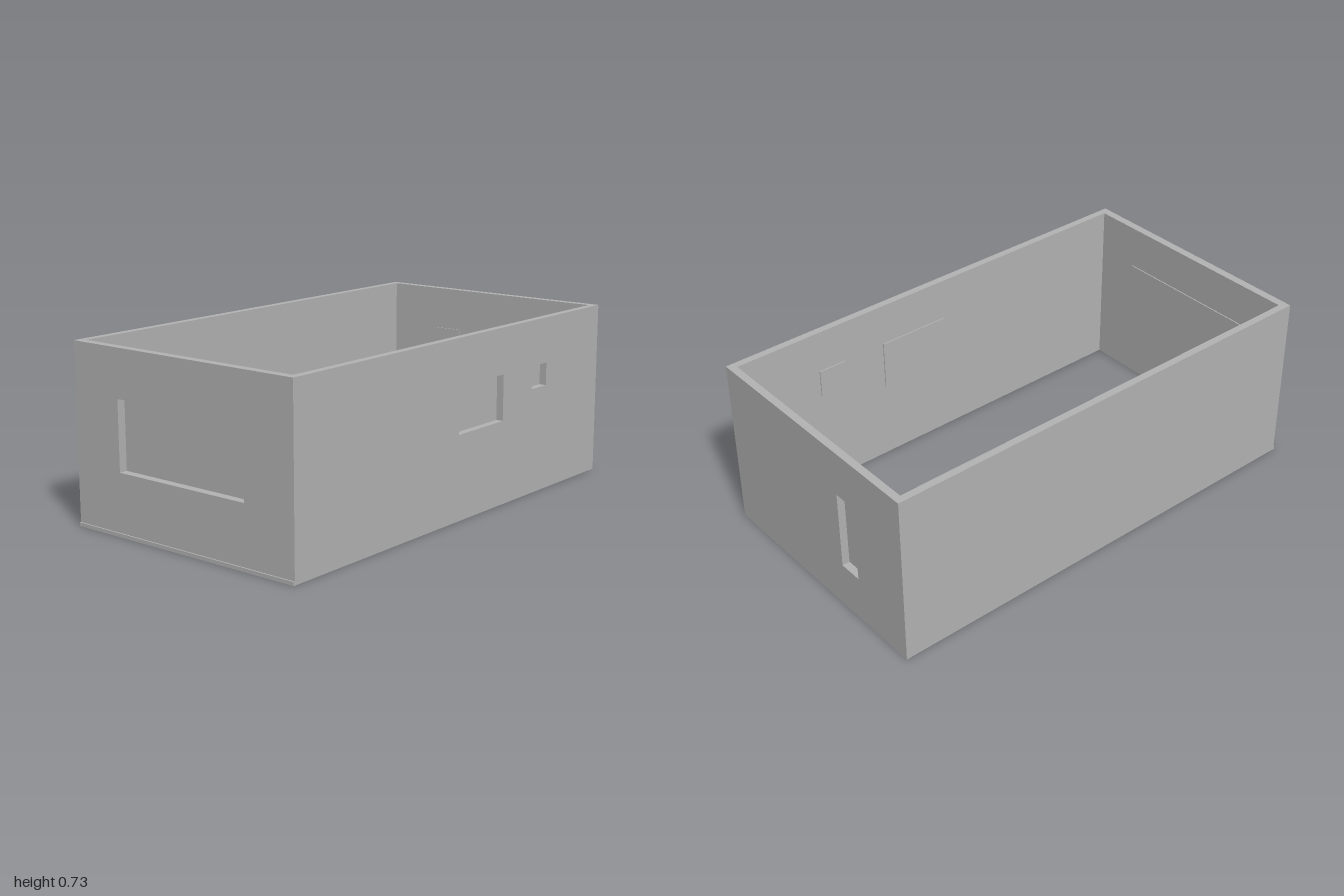
import * as THREE from 'three';

export function createModel() {
  const model = new THREE.Group();
  const grey = new THREE.MeshStandardMaterial({ color: 0xb2b2b2 });
  grey.name = 'plain grey';

  const H = 0.732, OUT_X = 0.552, IN_X = 0.521;
  const FRONT = 0.994, IN_FRONT = 0.959, BACK = -1, IN_BACK = -0.968;
  const PLATE = 0.005, LAP = 0.011;

  const add = (parent, name, geometry) => {
    const mesh = new THREE.Mesh(geometry, grey);
    mesh.name = name;
    parent.add(mesh);
    return mesh;
  };

  const rect = (Type, x0, x1, y0, y1) => {
    const p = new Type();
    p.moveTo(x0, y0);
    p.lineTo(x1, y0);
    p.lineTo(x1, y1);
    p.lineTo(x0, y1);
    p.closePath();
    return p;
  };

  // Wall with openings [name, x0, x1, y0, y1]; each one is closed by a
  // slightly larger thin pane on the inner face (local z = paneZ)
  const wall = (name, x0, x1, depth, openings, paneZ) => {
    const group = new THREE.Group();
    group.name = name;
    const shape = rect(THREE.Shape, x0, x1, 0, H);
    for (const [label, a, b, c, d] of openings) {
      shape.holes.push(rect(THREE.Path, a, b, c, d));
      const pane = new THREE.BoxGeometry(b - a + 2 * LAP, d - c + 2 * LAP, PLATE);
      pane.translate((a + b) / 2, (c + d) / 2, paneZ);
      add(group, label, pane);
    }
    add(group, name + 'Panel', new THREE.ExtrudeGeometry(shape, { depth, bevelEnabled: false }));
    model.add(group);
    return group;
  };

  // Front wall with the wide window
  wall('frontWall', -OUT_X, OUT_X, FRONT - IN_FRONT,
    [['wideWindowPane', -0.319, 0.317, 0.253, 0.537]], -PLATE / 2).position.z = IN_FRONT;

  // Back wall with the tall narrow window
  wall('backWall', -OUT_X, OUT_X, IN_BACK - BACK,
    [['tallWindowPane', -0.267, -0.165, 0.2, 0.537]], IN_BACK - BACK + PLATE / 2).position.z = BACK;

  // Left side wall with two windows; its local x runs towards -z
  const left = wall('leftWall', -IN_FRONT, -IN_BACK, OUT_X - IN_X, [
    ['sideWindowPane', -0.027, 0.275, 0.35, 0.541],
    ['smallWindowPane', 0.488, 0.592, 0.445, 0.541],
  ], -PLATE / 2);
  left.rotation.y = Math.PI / 2;
  left.position.x = IN_X;

  // Plain right side wall
  const right = wall('rightWall', -IN_FRONT, -IN_BACK, OUT_X - IN_X, [], 0);
  right.rotation.y = Math.PI / 2;
  right.position.x = -OUT_X;

  // Low sill along the foot of the front wall
  const sill = add(model, 'frontSill', new THREE.BoxGeometry(2 * OUT_X, 0.015, 1 - FRONT));
  sill.position.set(0, 0.0075, (1 + FRONT) / 2);

  return model;
}
